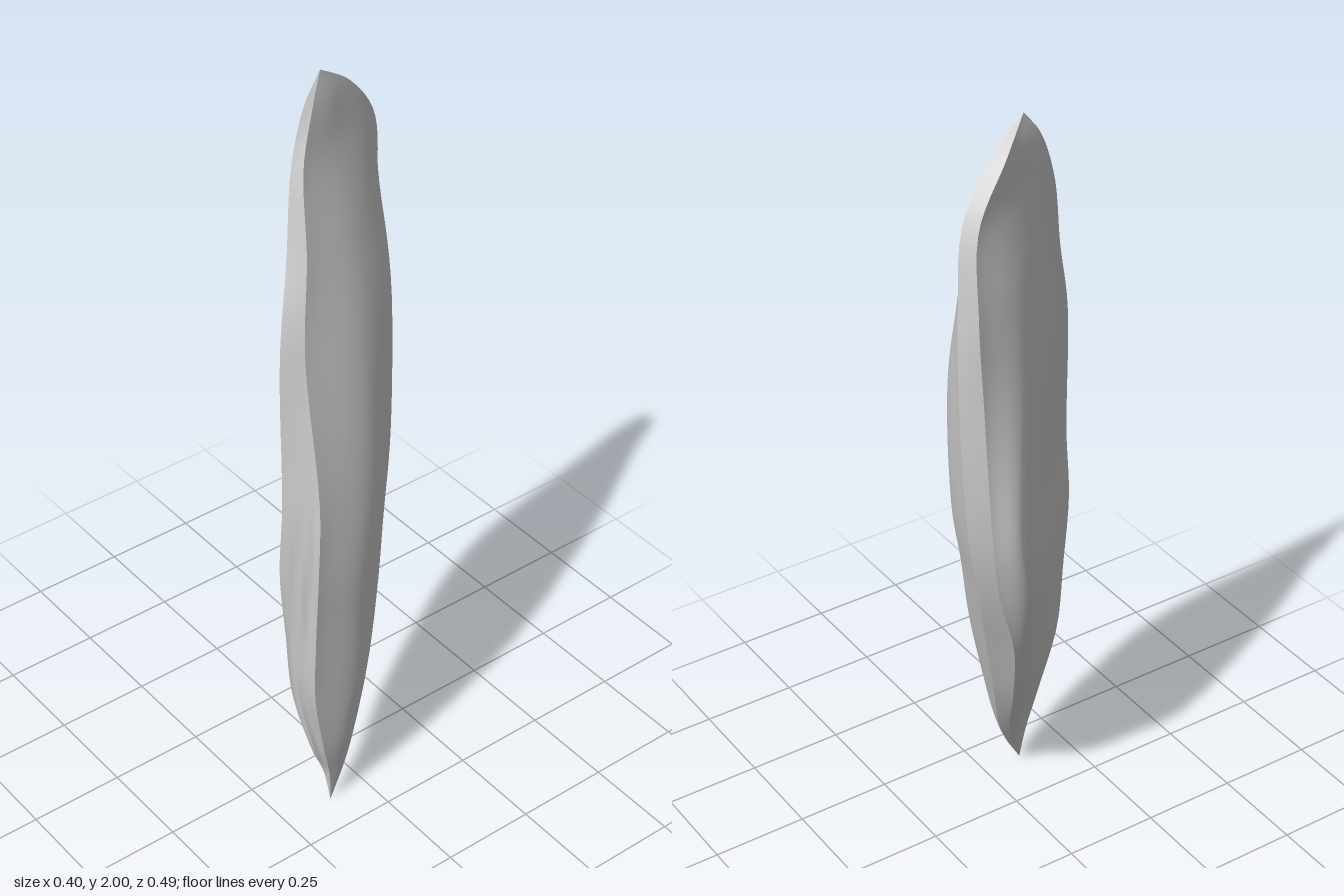
import * as THREE from 'three';

// Cross-sections from foot to tip, as x,z pairs: back edge, two points on the
// convex face, outer and inner corners of the broken front edge, inner bulge,
// inner corner of the back edge.
const HEIGHTS = [0.1, 0.2, 0.4, 0.6, 0.8, 1.0, 1.38, 1.6, 1.8, 1.93];
const SECTIONS = [
  [0.118, 0.05, 0.14, 0.055, 0.154, 0.08, 0.16, 0.12, 0.14, 0.125, 0.115, 0.08, 0.112, 0.06],
  [0.08, 0.0, 0.135, 0.02, 0.165, 0.07, 0.172, 0.145, 0.145, 0.165, 0.075, 0.065, 0.062, 0.02],
  [0.0, -0.07, 0.125, -0.03, 0.175, 0.04, 0.18, 0.18, 0.125, 0.21, -0.03, 0.02, -0.045, -0.04],
  [-0.06, -0.13, 0.09, -0.085, 0.178, 0.03, 0.19, 0.185, 0.12, 0.225, -0.11, -0.03, -0.115, -0.085],
  [-0.11, -0.185, 0.06, -0.125, 0.172, 0.01, 0.195, 0.18, 0.12, 0.24, -0.175, -0.08, -0.15, -0.15],
  [-0.13, -0.225, 0.02, -0.175, 0.14, -0.03, 0.18, 0.165, 0.12, 0.23, -0.2, -0.12, -0.175, -0.185],
  [-0.13, -0.245, -0.03, -0.21, 0.065, -0.06, 0.1, 0.145, 0.075, 0.198, -0.165, -0.09, -0.18, -0.21],
  [-0.12, -0.238, -0.07, -0.205, 0.01, -0.07, 0.05, 0.1, 0.02, 0.135, -0.135, -0.08, -0.178, -0.22],
  [-0.1, -0.21, -0.075, -0.165, -0.03, -0.04, 0.0, 0.07, -0.02, 0.09, -0.105, -0.095, -0.143, -0.195],
  [-0.073, -0.115, -0.063, -0.09, -0.045, -0.045, -0.03, 0.02, -0.038, 0.04, -0.082, -0.05, -0.108, -0.1],
];
const FOOT = new THREE.Vector3(0.15, 0, 0.11);
const TIP = new THREE.Vector3(-0.05, 2, -0.015);
const ROWS = 64;

// One vertical curve per section corner, from the foot to the tip
const rails = [0, 1, 2, 3, 4, 5, 6].map((k) => new THREE.CatmullRomCurve3([
  FOOT,
  ...SECTIONS.map((s, n) => new THREE.Vector3(s[2 * k], HEIGHTS[n], s[2 * k + 1])),
  TIP,
]));

// Skin stretched across a run of neighbouring rails
function strip(name, ids, cols, shift) {
  const pos = [], index = [];
  for (let j = 0; j <= ROWS; j++) {
    const across = new THREE.CatmullRomCurve3(ids.map((k) => rails[k].getPoint(j / ROWS)));
    for (let i = 0; i <= cols; i++) {
      const p = across.getPoint(i / cols);
      if (shift) shift(p, i / cols, i);
      pos.push(p.x, p.y, p.z);
    }
  }
  for (let j = 0; j < ROWS; j++) {
    for (let i = 0; i < cols; i++) {
      const a = j * (cols + 1) + i, b = a + cols + 1;
      index.push(a, b, a + 1, b, b + 1, a + 1);
    }
  }
  const geo = new THREE.BufferGeometry();
  geo.setAttribute('position', new THREE.Float32BufferAttribute(pos, 3));
  geo.setIndex(index);
  geo.computeVertexNormals();
  const mesh = new THREE.Mesh(geo, new THREE.MeshStandardMaterial({
    color: 0xcccccc, side: THREE.DoubleSide,
  }));
  mesh.name = name;
  return mesh;
}

// Long upright grooves in the broken edge, fading out above the middle
function splinter(p, t, i) {
  const groove = i % 2 ? 0.65 + 0.35 * Math.sin(p.y * 9 + i * 2.3) : 0.1;
  const fade = Math.sin(Math.PI * t) * THREE.MathUtils.clamp((1.0 - p.y) * 4, 0, 1) * Math.min(1, p.y * 4);
  p.x -= 0.55 * 0.022 * groove * fade;
  p.z -= 0.83 * 0.022 * groove * fade;
}

export function createModel() {
  const shard = new THREE.Group();
  shard.name = 'shard';
  shard.add(
    strip('convexFace', [0, 1, 2, 3], 24),
    strip('brokenEdge', [3, 4], 8, splinter),
    strip('innerFace', [4, 5, 6], 24),
    strip('backEdge', [6, 0], 4),
  );
  return shard;
}
